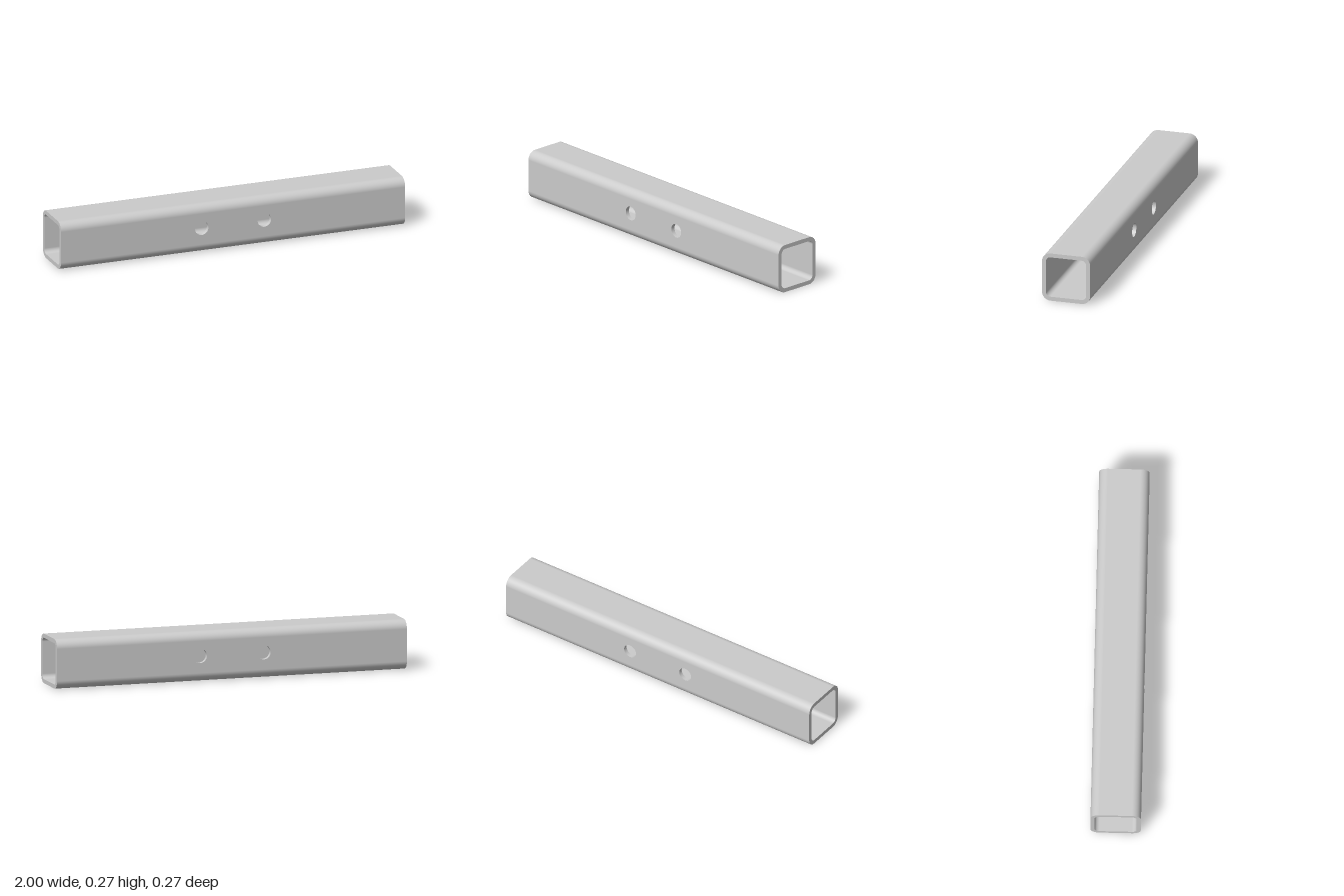
import * as THREE from 'three';
import { mergeGeometries } from 'three/addons/utils/BufferGeometryUtils.js';

const L = 1;            // half length
const C = 0.0884;       // corner arc centre offset
const R_OUT = 0.048, R_IN = 0.0253;
const HALF = C + R_OUT; // half width of the tube
const HOLE_X = 0.182, HOLE_Y = 0.005, HOLE_R = 0.039;
const SEG = 12;

// Corner, flat and corner of the upper half, swept along x; dir -1 faces inward
function halfSkin(r, dir) {
  const pos = [], nor = [], idx = [];
  for (const side of [0, 1]) {
    for (let i = 0; i <= SEG; i++) {
      const a = (side + i / SEG) * Math.PI / 2;
      const y = Math.sin(a), z = Math.cos(a);
      for (const x of [-L, L]) {
        pos.push(x, C + r * y, (side ? -C : C) + r * z);
        nor.push(0, dir * y, dir * z);
      }
    }
  }
  for (let k = 0; k < pos.length / 3 - 2; k += 2) {
    if (dir > 0) idx.push(k, k + 1, k + 3, k, k + 3, k + 2);
    else idx.push(k, k + 3, k + 1, k, k + 2, k + 3);
  }
  const g = new THREE.BufferGeometry();
  g.setAttribute('position', new THREE.Float32BufferAttribute(pos, 3));
  g.setAttribute('normal', new THREE.Float32BufferAttribute(nor, 3));
  g.setIndex(idx);
  return g;
}

// Flat wall face with the two bolt holes
function wallFace(z, dir) {
  const s = new THREE.Shape([[-L, -C], [L, -C], [L, C], [-L, C]].map(p => new THREE.Vector2(...p)));
  for (const x of [-HOLE_X, HOLE_X]) {
    s.holes.push(new THREE.Path().absarc(x, HOLE_Y, HOLE_R, 0, Math.PI * 2, true));
  }
  const g = new THREE.ShapeGeometry(s, 24);
  if (dir < 0) g.rotateY(Math.PI);
  return g.translate(0, 0, z);
}

// Rounded square outline
function outline(path, r) {
  [[C, C], [-C, C], [-C, -C], [C, -C]].forEach(([x, y], i) =>
    path.absarc(x, y, r, i * Math.PI / 2, (i + 1) * Math.PI / 2, false));
  return path.closePath();
}

export function createModel() {
  const group = new THREE.Group();
  const mat = new THREE.MeshStandardMaterial({ color: 0xcccccc });
  const boreMat = new THREE.MeshStandardMaterial({ color: 0xcccccc, side: THREE.BackSide });
  const add = (name, geo, m = mat) => {
    const mesh = new THREE.Mesh(geo, m);
    mesh.name = name;
    group.add(mesh);
    return mesh;
  };

  // Top and bottom walls with their rounded corners
  const half = mergeGeometries([halfSkin(R_OUT, 1), halfSkin(R_IN, -1)]);
  add('topWall', half);
  add('bottomWall', half).rotation.x = Math.PI;

  // Drilled front and back walls
  const inner = C + R_IN;
  add('frontWall', mergeGeometries([wallFace(HALF, 1), wallFace(inner, -1)]));
  add('backWall', mergeGeometries([wallFace(-HALF, -1), wallFace(-inner, 1)]));

  // Bores of the bolt holes
  const bore = new THREE.CylinderGeometry(HOLE_R, HOLE_R, HALF - inner, 48, 1, true).rotateX(Math.PI / 2);
  for (const x of [-HOLE_X, HOLE_X]) {
    for (const s of [-1, 1]) {
      add('boltHole', bore, boreMat).position.set(x, HOLE_Y, s * (HALF + inner) / 2);
    }
  }

  // Cut ends
  const ring = outline(new THREE.Shape(), R_OUT);
  ring.holes.push(outline(new THREE.Path(), R_IN));
  const end = new THREE.ShapeGeometry(ring, SEG);
  for (const s of [-1, 1]) {
    const cap = add(s > 0 ? 'leftEnd' : 'rightEnd', end);
    cap.rotation.y = s * Math.PI / 2;
    cap.position.x = s * L;
  }

  group.position.y = HALF;
  const model = new THREE.Group();
  group.name = 'squareTube';
  model.add(group);
  return model;
}
